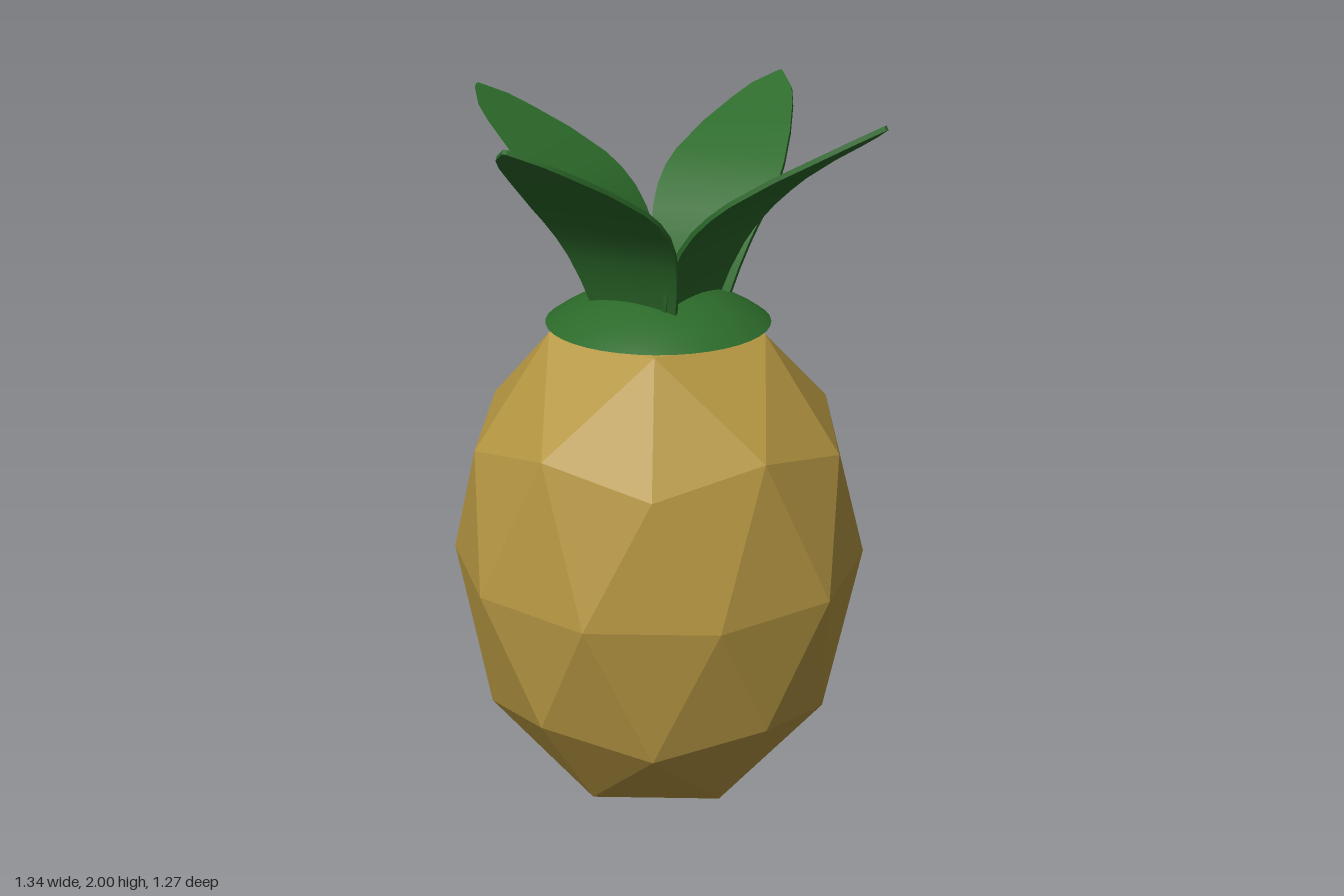
import * as THREE from 'three';

const skin = new THREE.MeshStandardMaterial({ color: 0xb59642, flatShading: true });
const green = new THREE.MeshStandardMaterial({ color: 0x2c6a2a });

// Low-poly fruit: stretched icosphere standing on a vertex, with its poles pressed in
function createFruit() {
  const geo = new THREE.IcosahedronGeometry(1, 1);
  const golden = (1 + Math.sqrt(5)) / 2;
  geo.rotateZ(-Math.atan(1 / golden));
  geo.scale(0.575, 0.78, 0.575);
  geo.translate(-0.007, 0.73, -0.025);
  const p = geo.attributes.position;
  for (let i = 0; i < p.count; i++) p.setY(i, THREE.MathUtils.clamp(p.getY(i), 0, 1.46));
  geo.computeVertexNormals();
  const mesh = new THREE.Mesh(geo, skin);
  mesh.name = 'fruitBody';
  return mesh;
}

// Shallow dome that the leaves grow from, closed below
function createCap() {
  const radius = 0.305, height = 0.1;
  const R = (radius * radius + height * height) / (2 * height);
  const group = new THREE.Group();
  group.name = 'leafCap';
  const dome = new THREE.Mesh(
    new THREE.SphereGeometry(R, 40, 8, 0, Math.PI * 2, 0, Math.asin(radius / R)), green);
  dome.name = 'capDome';
  dome.position.y = height - R;
  const underside = new THREE.Mesh(new THREE.CircleGeometry(radius, 40), green);
  underside.name = 'capUnderside';
  underside.rotation.x = Math.PI / 2;
  group.add(dome, underside);
  group.position.set(0, 1.4, -0.03);
  return group;
}

// Leaf stations: [distance outward, height above the root, half width]
const stations = [
  [0, 0, 0.135], [0.022, 0.07, 0.152], [0.052, 0.14, 0.17], [0.085, 0.195, 0.184],
  [0.13, 0.25, 0.195], [0.18, 0.297, 0.197], [0.23, 0.337, 0.188], [0.335, 0.405, 0.152],
  [0.44, 0.465, 0.105], [0.5, 0.5, 0.07], [0.56, 0.535, 0.006],
];

// Thin blade: a box whose cross-sections follow the stations, outward along +z
function createLeaf({ name, root, tip, rise, width }) {
  const n = stations.length - 1;
  const dx = tip[0] - root[0], dz = tip[1] - root[1];
  const stretch = Math.hypot(dx, dz) / 0.56;
  const geo = new THREE.BoxGeometry(2, 1, n, 1, 1, n);
  const p = geo.attributes.position;
  for (let i = 0; i < p.count; i++) {
    const k = Math.round(p.getZ(i) + n / 2);
    const [u, v, w] = stations[k];
    const a = stations[Math.max(k - 1, 0)], b = stations[Math.min(k + 1, n)];
    const tangent = new THREE.Vector2(b[0] - a[0], b[1] - a[1]).normalize();
    const t = p.getY(i) * 0.012;
    p.setXYZ(i, p.getX(i) * w * width,
      v * rise / 0.535 + t * tangent.x, u * stretch - t * tangent.y);
  }
  geo.computeVertexNormals();
  const leaf = new THREE.Mesh(geo, green);
  leaf.name = name;
  leaf.position.set(root[0], 1.46, root[1]);
  leaf.rotation.y = Math.atan2(dx, dz);
  return leaf;
}

export function createModel() {
  const model = new THREE.Group();
  model.name = 'pineapple';
  model.add(createFruit(), createCap());

  // Crown of four leaves, each turned slightly the same way; root and tip are [x, z]
  const crown = new THREE.Group();
  crown.name = 'crown';
  [
    { name: 'frontLeaf', root: [0.015, 0.07], tip: [0.05, 0.63], rise: 0.537, width: 1 },
    { name: 'leftLeaf', root: [0.15, -0.03], tip: [0.665, -0.1], rise: 0.505, width: 0.9 },
    { name: 'backLeaf', root: [0.02, -0.12], tip: [-0.035, -0.635], rise: 0.51, width: 0.93 },
    { name: 'rightLeaf', root: [-0.12, -0.02], tip: [-0.67, 0.04], rise: 0.525, width: 0.98 },
  ].forEach((leaf) => crown.add(createLeaf(leaf)));
  model.add(crown);
  return model;
}
